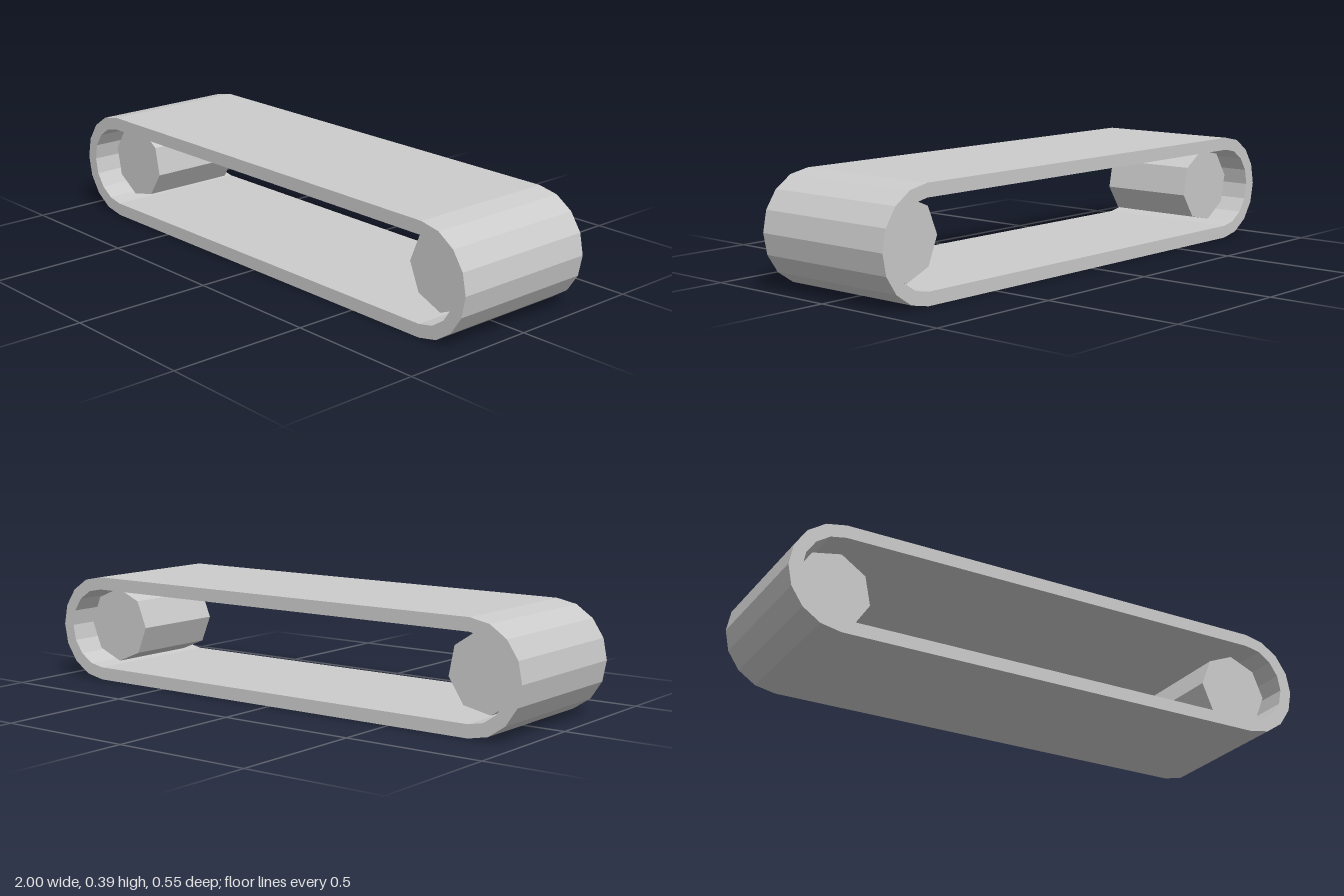
import * as THREE from 'three';

const AXLE_X = 0.807, AXLE_Y = 0.193, WIDTH = 0.55;

// Stadium outline: two half circles of eight straight segments each
function stadium(radius) {
  const points = [];
  for (const side of [1, -1]) {
    for (let i = 0; i <= 8; i++) {
      const a = -side * Math.PI / 2 + side * (i / 8) * Math.PI * side;
      points.push(new THREE.Vector2(side * AXLE_X + radius * Math.cos(a), AXLE_Y + radius * Math.sin(a)));
    }
  }
  return points;
}

export function createModel() {
  const group = new THREE.Group();
  group.name = 'conveyor';
  const material = new THREE.MeshStandardMaterial({ color: 0xcccccc, flatShading: true });

  // Closed belt loop
  const outline = new THREE.Shape(stadium(0.193));
  outline.holes.push(new THREE.Path(stadium(0.147)));
  const beltGeometry = new THREE.ExtrudeGeometry(outline, { depth: WIDTH, bevelEnabled: false });
  beltGeometry.translate(0, 0, -WIDTH / 2);
  const belt = new THREE.Mesh(beltGeometry, material);
  belt.name = 'belt';
  group.add(belt);

  // Octagonal rollers, the right one turned slightly
  const rollers = [['leftRoller', AXLE_X, 0], ['rightRoller', -AXLE_X, -0.19]];
  for (const [name, x, turn] of rollers) {
    const geometry = new THREE.CylinderGeometry(0.138, 0.138, 0.36, 8);
    geometry.rotateX(Math.PI / 2);
    const roller = new THREE.Mesh(geometry, material);
    roller.name = name;
    roller.position.set(x, AXLE_Y + 0.003, 0);
    roller.rotation.z = turn;
    group.add(roller);
  }
  return group;
}
